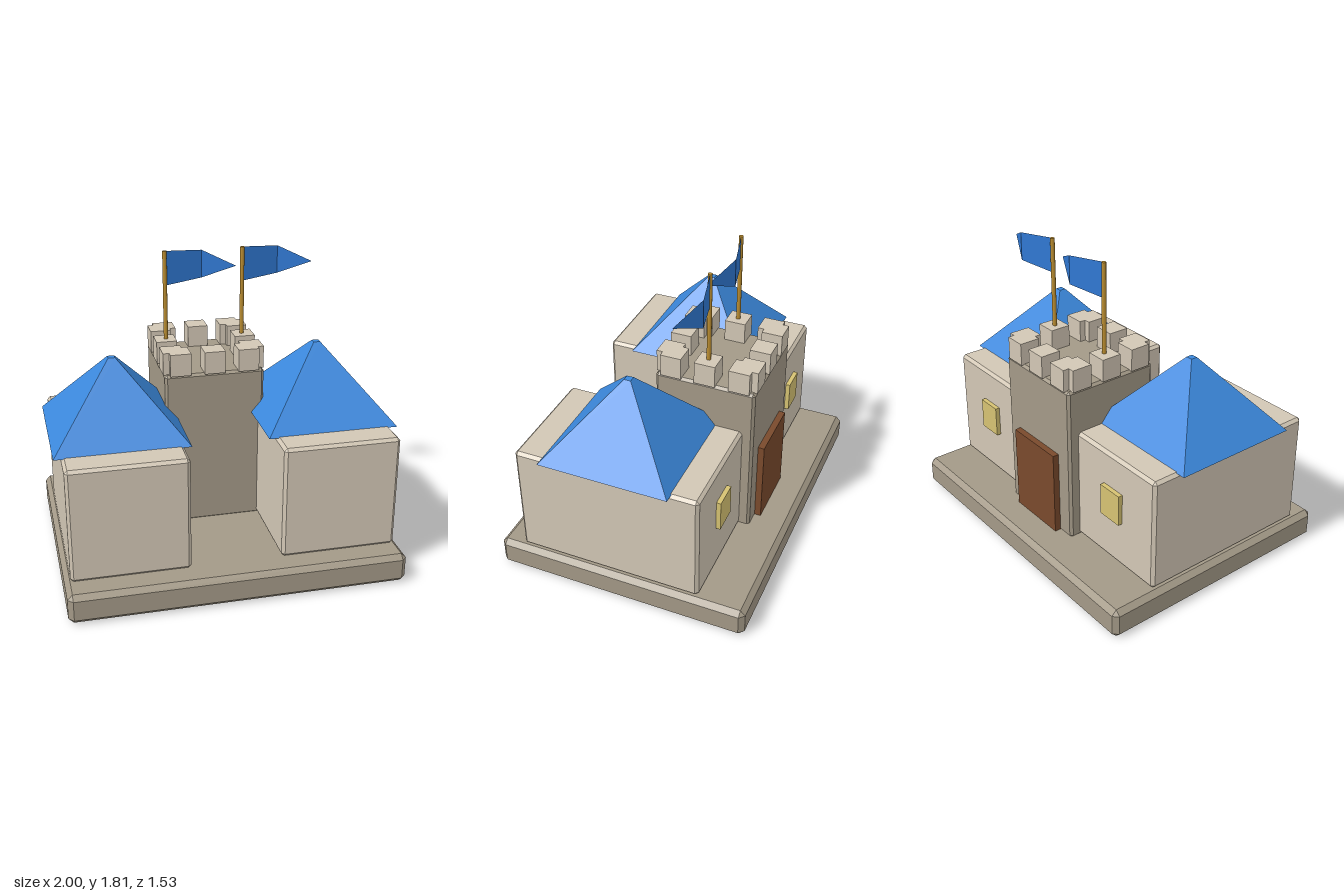
import * as THREE from 'three';
import { ConvexGeometry } from 'three/addons/geometries/ConvexGeometry.js';

const mat = (name, color, extra = {}) => {
  const m = new THREE.MeshStandardMaterial({ color, ...extra });
  m.name = name;
  return m;
};

export function createModel() {
  const castle = new THREE.Group();
  castle.name = 'castle';

  const lightStone = mat('light stone', 0xd2c7b5);
  const darkStone = mat('dark stone', 0xa39987);
  const roofBlue = mat('roof blue', 0x3b88dc, { flatShading: true });
  const flagBlue = mat('flag blue', 0x3078d2, { side: THREE.DoubleSide, flatShading: true });
  const gold = mat('gold', 0xb98c30);
  const wood = mat('door brown', 0x7a4a2c);
  const glass = mat('window yellow', 0xd6c272);

  const add = (name, geometry, material) => {
    const mesh = new THREE.Mesh(geometry, material);
    mesh.name = name;
    castle.add(mesh);
    return mesh;
  };

  // Box given by its min and max corners
  const box = (name, material, [x0, y0, z0], [x1, y1, z1]) => {
    const mesh = add(name, new THREE.BoxGeometry(x1 - x0, y1 - y0, z1 - z0), material);
    mesh.position.set((x0 + x1) / 2, (y0 + y1) / 2, (z0 + z1) / 2);
    return mesh;
  };

  // Box with every edge and corner cut by bevel b
  const bevelBox = (name, material, min, max, b) => {
    const c = min.map((v, i) => (v + max[i]) / 2);
    const h = min.map((v, i) => (max[i] - v) / 2);
    const points = [];
    for (const sx of [-1, 1]) for (const sy of [-1, 1]) for (const sz of [-1, 1]) {
      const s = [sx, sy, sz];
      for (let face = 0; face < 3; face++) {
        points.push(new THREE.Vector3(
          ...s.map((k, i) => c[i] + k * (h[i] - (i === face ? 0 : b)))));
      }
    }
    return add(name, new ConvexGeometry(points), material);
  };

  // Plinth and central tower
  bevelBox('base', darkStone, [-0.99, 0, -0.77], [0.99, 0.18, 0.765], 0.03);
  bevelBox('tower', darkStone, [-0.3, 0.17, -0.55], [0.3, 1.14, 0.05], 0.015);

  // Side wings, each with a pyramid roof and a back window
  for (const s of [-1, 1]) {
    const side = s > 0 ? 'left' : 'right';
    const cx = s * 0.612;
    bevelBox(side + 'Wing', lightStone, [cx - 0.345, 0.18, -0.485], [cx + 0.345, 0.87, 0.62], 0.018);

    const r = Math.SQRT2;
    const roof = new THREE.CylinderGeometry(0.02 * r, 0.388 * r, 0.43, 4).rotateY(Math.PI / 4);
    add(side + 'Roof', roof, roofBlue).position.set(cx, 1.08, 0.064);

    box(side + 'Window', glass, [cx - 0.08, 0.47, -0.512], [cx + 0.08, 0.66, -0.48]);
  }

  // Back door
  box('door', wood, [-0.193, 0.18, -0.588], [0.193, 0.7, -0.54]);

  // Battlements: three blocks on each tower edge
  const cz = -0.25, w = 0.0625, edge = 0.242, step = 0.205;
  const merlon = (x, z) =>
    box('merlon', lightStone, [x - w, 1.135, z - w], [x + w, 1.27, z + w]);
  for (const s of [-1, 1]) for (const k of [-1, 0, 1]) {
    merlon(k * step, cz + s * edge);
    merlon(s * edge, cz + k * step);
  }

  // Flagpoles with folded pennants
  for (const x of [-0.236, 0.236]) {
    const pole = add('flagpole', new THREE.CylinderGeometry(0.013, 0.013, 0.67, 12), gold);
    pole.position.set(x, 1.475, cz);

    const flag = new THREE.BufferGeometry();
    flag.setAttribute('position', new THREE.Float32BufferAttribute([
      0, 1.6, 0, 0, 1.81, 0,
      0.235, 1.62, -0.057, 0.235, 1.79, -0.057,
      0.425, 1.705, 0.035,
    ], 3));
    flag.setIndex([0, 2, 3, 0, 3, 1, 2, 4, 3]);
    const faceted = flag.toNonIndexed();
    faceted.computeVertexNormals();
    add('flag', faceted, flagBlue).position.set(x, 0, cz);
  }

  return castle;
}
